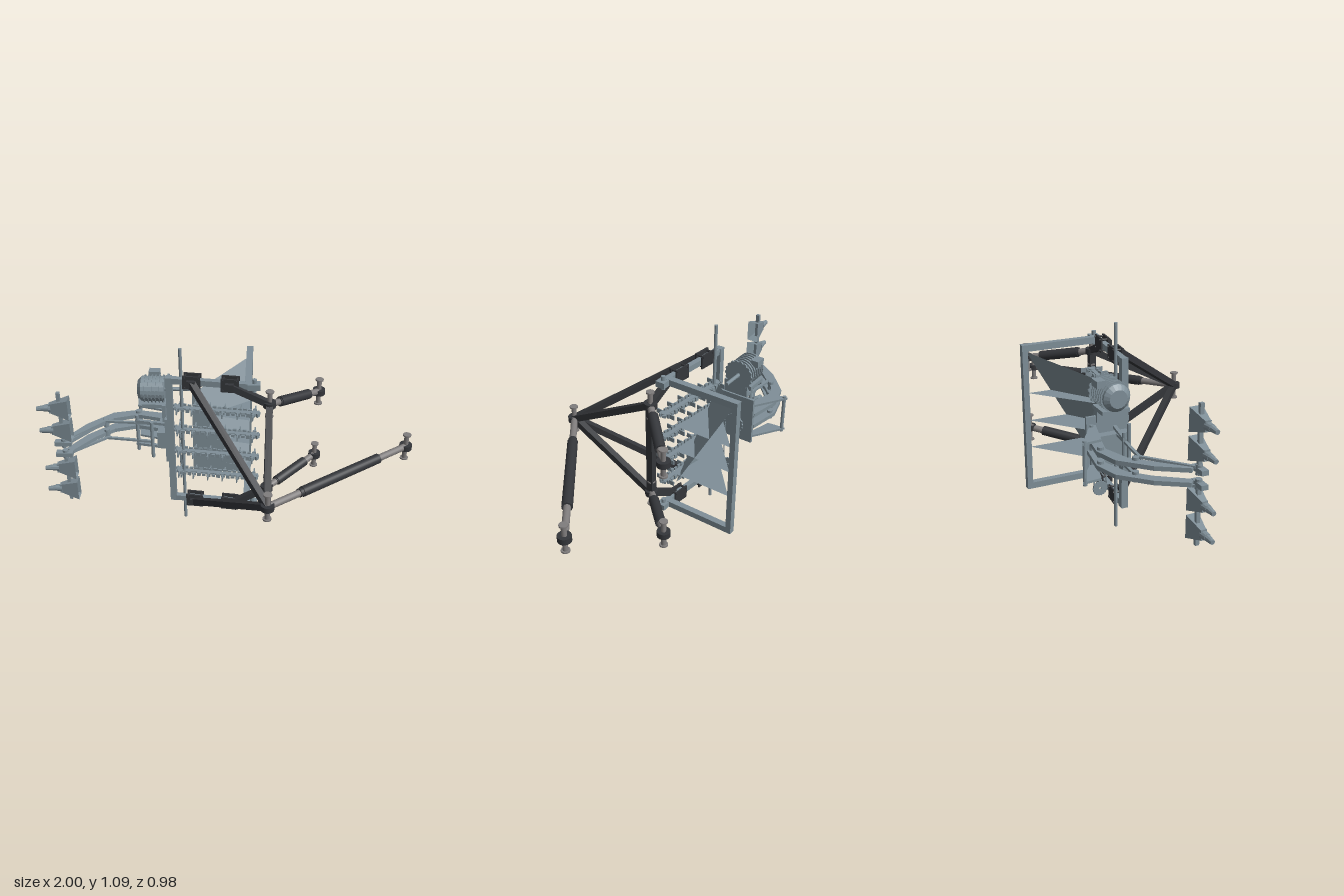
import * as THREE from 'three';

const steel = new THREE.MeshStandardMaterial({ color: 0x7f8f98, flatShading: true });
const sheetMat = new THREE.MeshStandardMaterial({ color: 0x7f8f98, flatShading: true, side: THREE.DoubleSide });
const dark = new THREE.MeshStandardMaterial({ color: 0x34363a });
const rodMat = new THREE.MeshStandardMaterial({ color: 0x807d7d });
const V = (x, y, z) => new THREE.Vector3(x, y, z);
const UP = V(0, 1, 0);
const TILT = 0.1; // the crossbars and chains swing slightly forward towards +x
const barZ = x => -0.085 + x * TILT;

function add(parent, name, geo, mat, x = 0, y = 0, z = 0) {
  const m = new THREE.Mesh(geo, mat);
  m.name = name;
  m.position.set(x, y, z);
  parent.add(m);
  return m;
}
// box given by its limits
function box(parent, name, x0, x1, y0, y1, z0, z1, mat = steel) {
  return add(parent, name, new THREE.BoxGeometry(x1 - x0, y1 - y0, z1 - z0), mat,
    (x0 + x1) / 2, (y0 + y1) / 2, (z0 + z1) / 2);
}
// round bar between two points
function rod(parent, name, a, b, r, mat = steel, sides = 16, r2 = r) {
  const m = add(parent, name, new THREE.CylinderGeometry(r2, r, a.distanceTo(b), sides), mat);
  m.position.copy(a).lerp(b, 0.5);
  m.quaternion.setFromUnitVectors(UP, b.clone().sub(a).normalize());
}
// rectangular bar between two points; h is its upright size
function beam(parent, name, a, b, w, h, mat = steel) {
  const m = add(parent, name, new THREE.BoxGeometry(w, h, a.distanceTo(b)), mat);
  m.position.copy(a).lerp(b, 0.5);
  m.lookAt(b);
}
// thin sheet from corner points, as a fan
function sheet(parent, name, pts) {
  const pos = [];
  for (let i = 1; i < pts.length - 1; i++) for (const p of [pts[0], pts[i], pts[i + 1]]) pos.push(p.x, p.y, p.z);
  const g = new THREE.BufferGeometry();
  g.setAttribute('position', new THREE.Float32BufferAttribute(pos, 3));
  g.computeVertexNormals();
  add(parent, name, g, sheetMat);
}
// level plate from an outline of [x, z] points
function plate(parent, name, outline, y, thick) {
  const s = new THREE.Shape(outline.map(p => new THREE.Vector2(p[0], -p[1])));
  const g = new THREE.ExtrudeGeometry(s, { depth: thick, bevelEnabled: false });
  add(parent, name, g, steel, 0, y - thick / 2, 0).rotation.x = -Math.PI / 2;
}
// toothed wheel with its axis along x
function gear(parent, name, x, y, z, r, teeth) {
  const s = new THREE.Shape();
  for (let i = 0; i < teeth * 4; i++) {
    const a = i / (teeth * 4) * Math.PI * 2, q = i % 4 < 2 ? r : r * 0.93;
    s[i ? 'lineTo' : 'moveTo'](Math.cos(a) * q, Math.sin(a) * q);
  }
  const hole = new THREE.Path();
  hole.absarc(0, 0, r * 0.15, 0, Math.PI * 2, true);
  s.holes.push(hole);
  const g = new THREE.ExtrudeGeometry(s, { depth: 0.008, bevelEnabled: false, curveSegments: 8 });
  add(parent, name, g, steel, x, y, z).rotation.y = Math.PI / 2;
}
// upright hinge pin with end flanges and a dark knuckle
function pin(parent, name, p) {
  const g = new THREE.Group();
  g.name = name;
  g.position.copy(p);
  parent.add(g);
  rod(g, 'pinShaft', V(0, -0.075, 0), V(0, 0.075, 0), 0.013, rodMat);
  for (const s of [-1, 1]) rod(g, 'pinFlange', V(0, s * 0.069, 0), V(0, s * 0.077, 0), 0.022, rodMat);
  rod(g, 'knuckle', V(0, -0.015, 0), V(0, 0.015, 0), 0.034, dark, 24);
}
// hydraulic cylinder: rod all along, thick barrel from t0 to t1
function ram(parent, name, a, b, t0, t1, r) {
  const g = new THREE.Group();
  g.name = name;
  parent.add(g);
  const at = t => a.clone().lerp(b, t);
  rod(g, 'ramRod', a, b, r * 0.68, rodMat);
  rod(g, 'ramBarrel', at(t0), at(t1), r, dark, 24);
  rod(g, 'ramCollar', at(t0 - 0.02), at(t0 + 0.03), r * 0.85, dark, 24);
}

function buildFrame(g) {
  for (const y of [0.155, 0.915]) {
    beam(g, 'frameCrossBar', V(-0.32, y, barZ(-0.32)), V(0.12, y, barZ(0.12)), 0.03, 0.032);
    box(g, 'frameSideBar', 0.085, 0.12, y - 0.017, y + 0.017, -0.49, -0.085);
    box(g, 'frameBracket', 0.1, 0.165, y - 0.016, y + 0.016, -0.1, -0.05);
    rod(g, 'bracketBolt', V(0.135, y - 0.035, -0.075), V(0.135, y + 0.038, -0.075), 0.012);
  }
  box(g, 'frameFrontPost', -0.33, -0.295, 0.138, 0.932, -0.135, -0.1);
  box(g, 'frameBackPost', 0.085, 0.12, 0.138, 0.932, -0.49, -0.46);
  rod(g, 'driveShaft', V(-0.25, 0, -0.13), V(-0.25, 1.09, -0.13), 0.009);
}

// bolted clamp plates around the crossbar
function buildMount(parent, x, y) {
  const g = new THREE.Group();
  g.name = 'strutMount';
  g.position.set(x, y, barZ(x));
  g.rotation.y = -TILT;
  parent.add(g);
  box(g, 'mountPlate', -0.047, 0.047, -0.038, 0.038, 0.015, 0.025, dark);
  box(g, 'mountPlateBack', -0.047, 0.047, -0.038, 0.038, -0.023, -0.015, dark);
  box(g, 'mountLug', -0.022, 0.022, -0.018, 0.018, 0.02, 0.045, dark);
  for (const i of [-1, 1]) for (const j of [-1, 1])
    rod(g, 'mountBolt', V(i * 0.036, j * 0.028, -0.027), V(i * 0.036, j * 0.028, 0.032), 0.006, dark, 8);
}

function buildLinkage(g) {
  const nose = V(0.215, 0.55, 0.46);
  pin(g, 'nosePin', nose);
  for (const s of [-1, 1]) {
    const yKnot = 0.55 + s * 0.27, yPlate = 0.535 + s * 0.382;
    const knot = V(0.215, yKnot, -0.055);
    buildMount(g, -0.19, yPlate);
    buildMount(g, 0.01, yPlate);
    beam(g, 'longStrut', V(-0.19, yPlate, -0.075), nose, 0.034, 0.034, dark);
    beam(g, 'sideStrut', V(0.01, yPlate, -0.06), knot, 0.034, 0.034, dark);
    beam(g, 'noseStrut', knot, nose, 0.034, 0.034, dark);
    pin(g, 'knotPin', knot);
    const end = V(0.487, 0.535 + s * 0.21, -0.33);
    ram(g, 'shortRam', knot, end, 0.2, 0.78, 0.027);
    pin(g, 'shortRamPin', end);
  }
  box(g, 'knotPost', 0.197, 0.233, 0.28, 0.82, -0.073, -0.037, dark);
  const tip = V(0.96, 0.53, -0.13);
  ram(g, 'longRam', nose, tip, 0.23, 0.78, 0.027);
  pin(g, 'longRamPin', tip);
}

function buildHopper(g) {
  // folded back sheet: sloping upper half, nearly upright lower half
  const peak = V(0.11, 0.89, -0.46), left = V(0.11, 0.32, -0.14);
  const right = V(-0.2, 0.79, -0.19);
  sheet(g, 'hopperUpperSheet', [peak, right, left]);
  sheet(g, 'hopperLowerSheet', [right, V(-0.2, 0.3, -0.17), left]);
  // stacked shelves behind it
  for (const y of [0.67, 0.52, 0.37])
    sheet(g, 'hopperShelf', [V(-0.2, y, -0.19), V(0.11, y, -0.46), V(0.11, y, -0.13)]);
}

function buildChain(parent, y) {
  const g = new THREE.Group();
  g.name = 'pickingChain';
  g.position.set(-0.27, y, -0.13);
  g.rotation.y = -TILT;
  parent.add(g);
  const L = 0.41, r = 0.025, n = 36, per = 2 * L + 2 * Math.PI * r;
  for (const x of [0, L]) rod(g, 'chainSprocket', V(x, -0.008, 0), V(x, 0.008, 0), 0.02, steel, 14);
  box(g, 'chainGuide', 0, L, -0.005, 0.005, -0.012, 0.012);
  // links follow a stadium loop, every third one carries a tine
  for (let i = 0; i < n; i++) {
    let d = i / n * per, x, z, a = 0;
    if (d < L) { x = d; z = r; }
    else if ((d -= L) < Math.PI * r) { a = d / r; x = L + Math.sin(a) * r; z = Math.cos(a) * r; }
    else if ((d -= Math.PI * r) < L) { a = Math.PI; x = L - d; z = -r; }
    else { a = Math.PI + (d - L) / r; x = Math.sin(a) * r; z = Math.cos(a) * r; }
    const link = add(g, 'chainLink', new THREE.BoxGeometry(0.02, i % 2 ? 0.014 : 0.022, 0.009), steel, x, 0, z);
    link.rotation.y = a;
    if (i % 3 === 0) box(link, 'chainTine', -0.003, 0.003, -0.012, 0.012, 0, 0.035);
  }
}

function buildDrive(g) {
  // finned motor lying along x
  rod(g, 'motorBody', V(-0.475, 0.795, -0.23), V(-0.35, 0.795, -0.23), 0.068, steel, 20);
  rod(g, 'motorCap', V(-0.475, 0.795, -0.23), V(-0.495, 0.795, -0.23), 0.068, steel, 20, 0.045);
  for (let i = 0; i < 6; i++) {
    const x = -0.46 + i * 0.02;
    rod(g, 'motorFin', V(x, 0.795, -0.23), V(x + 0.006, 0.795, -0.23), 0.076, steel, 20);
  }
  box(g, 'motorFoot', -0.47, -0.35, 0.715, 0.735, -0.3, -0.16);
  box(g, 'motorTerminal', -0.44, -0.38, 0.84, 0.875, -0.315, -0.27);
  rod(g, 'motorShaft', V(-0.35, 0.795, -0.23), V(-0.21, 0.795, -0.23), 0.01);
  gear(g, 'topGear', -0.335, 0.795, -0.23, 0.083, 18);
  gear(g, 'middleGear', -0.28, 0.53, -0.25, 0.055, 16);
  gear(g, 'bottomGear', -0.28, 0.25, -0.23, 0.04, 18);
  for (const z of [-0.195, -0.262]) rod(g, 'driveChain', V(-0.275, 0.25, z), V(-0.275, 0.53, z), 0.004, steel, 6);
  box(g, 'armPlate', -0.345, -0.33, 0.4, 0.67, -0.33, -0.11);
  box(g, 'motorBracket', -0.36, -0.34, 0.64, 0.74, -0.28, -0.14);
}

function buildClaw(g, cy) {
  // flared square bucket with a tapering motor stub
  const bucket = new THREE.CylinderGeometry(0.037, 0.083, 0.1, 4, 1, true);
  bucket.rotateY(Math.PI / 4).rotateZ(Math.PI / 2).scale(1, 1, 0.55);
  add(g, 'clawBucket', bucket, sheetMat, -0.88, cy, -0.022);
  box(g, 'clawBase', -0.935, -0.925, cy - 0.026, cy + 0.026, -0.036, -0.006);
  rod(g, 'clawMotor', V(-0.96, cy, -0.018), V(-0.925, cy, -0.02), 0.018, steel, 12, 0.022);
  rod(g, 'clawStub', V(-1, cy - 0.005, -0.015), V(-0.95, cy, -0.018), 0.012, steel, 10, 0.018);
}

function buildArms(g) {
  // open bracket carrying the arms: two wedge plates joined by posts
  for (const y of [0.425, 0.62])
    plate(g, 'bracketPlate', [[-0.53, -0.43], [-0.34, -0.31], [-0.34, -0.28], [-0.52, -0.33]], y, 0.012);
  for (const y of [0.45, 0.6]) beam(g, 'bracketRail', V(-0.52, y, -0.21), V(-0.34, y, -0.18), 0.018, 0.015);
  for (const p of [[-0.522, -0.415], [-0.36, -0.31], [-0.51, -0.21], [-0.42, -0.14]])
    rod(g, 'bracketPost', V(p[0], 0.41, p[1]), V(p[0], 0.635, p[1]), 0.01, steel, 10);
  box(g, 'bracketBlock', -0.39, -0.34, 0.48, 0.58, -0.28, -0.12);
  for (const s of [-1, 1]) {
    const y = 0.53 + s * 0.035;
    // cranked arm drawn in plan
    plate(g, 'pickingArm', [[-0.35, -0.33], [-0.53, -0.36], [-0.66, -0.325], [-0.79, -0.2], [-0.88, -0.06],
      [-0.85, -0.03], [-0.74, -0.18], [-0.65, -0.265], [-0.52, -0.31], [-0.35, -0.27]], y, 0.022);
    beam(g, 'armLink', V(-0.42, y + s * 0.025, -0.2), V(-0.69, y + s * 0.02, -0.22), 0.015, 0.012);
    beam(g, 'armLink', V(-0.69, y + s * 0.02, -0.22), V(-0.88, y + s * 0.01, -0.03), 0.015, 0.012);
    for (const p of [[-0.52, -0.335], [-0.69, -0.24], [-0.88, -0.025]])
      rod(g, 'armPivot', V(p[0], y - 0.025, p[1]), V(p[0], y + 0.025, p[1]), 0.016, steel, 12);
    box(g, 'armTip', -0.93, -0.84, y - 0.012, y + 0.012, -0.04, -0.005);
    // claw carrier and its two claws
    const y0 = s > 0 ? 0.545 : 0.19;
    box(g, 'clawBar', -0.89, -0.872, y0, y0 + 0.33, -0.035, -0.015);
    for (const cy of s > 0 ? [0.785, 0.65] : [0.405, 0.265]) buildClaw(g, cy);
  }
}

export function createModel() {
  const root = new THREE.Group();
  root.name = 'pickingMachine';
  const parts = { frame: buildFrame, hitchLinkage: buildLinkage, hopper: buildHopper, drive: buildDrive, pickingArms: buildArms,
    conveyor: g => [0.33, 0.465, 0.605, 0.74].forEach(y => buildChain(g, y)) };
  for (const [name, build] of Object.entries(parts)) {
    const g = new THREE.Group();
    g.name = name;
    build(g);
    root.add(g);
  }
  return root;
}
